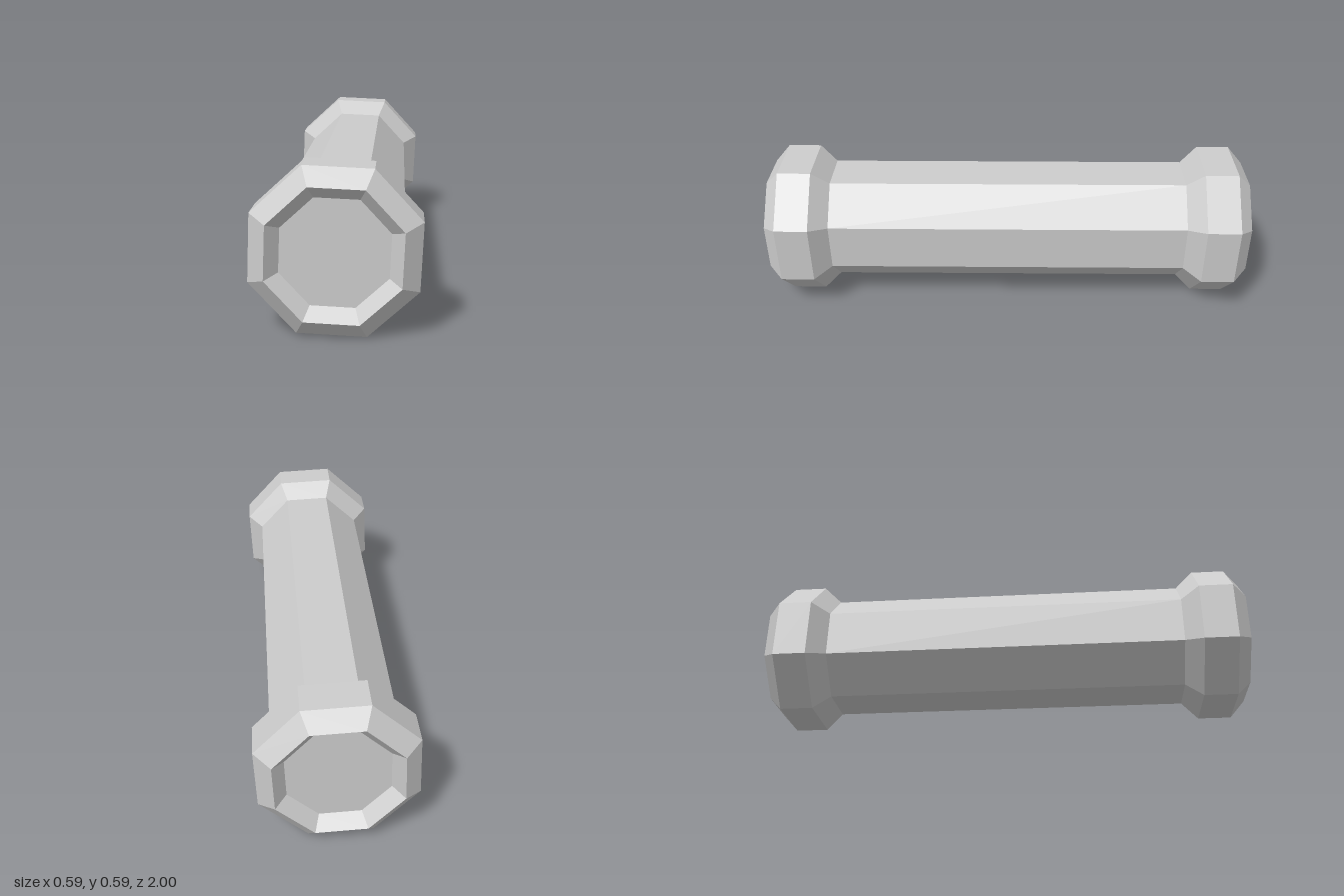
import * as THREE from 'three';

const SIDES = 8;
const TWIST = THREE.MathUtils.degToRad(20.06); // slight roll of the octagon
const CENTRE_Y = 0.298;

const material = new THREE.MeshStandardMaterial({ color: 0xcccccc, flatShading: true });

// Octagonal solid of revolution along z; profile points are [radius, z], z rising on the outside.
function octagonalLathe(name, profile) {
  const points = profile.map(([r, z]) => new THREE.Vector2(r, z));
  const geometry = new THREE.LatheGeometry(points, SIDES, TWIST);
  geometry.rotateX(Math.PI / 2);
  const mesh = new THREE.Mesh(geometry, material);
  mesh.name = name;
  mesh.position.y = CENTRE_Y;
  return mesh;
}

export function createModel() {
  const group = new THREE.Group();
  group.name = 'octagonalBar';

  // Long shaft between the two end caps
  group.add(octagonalLathe('shaft', [[0.249, -0.738], [0.249, 0.738]]));

  // Bevelled end cap with a shallow tapered recess in its face
  const cap = [
    [0.249, 0.738],
    [0.315, 0.807],
    [0.315, 0.943],
    [0.249, 1],
    [0.202, 0.95],
    [0, 0.95],
  ];
  group.add(octagonalLathe('frontCap', cap));

  // Mirrored profile, reversed so the faces still point outward
  group.add(octagonalLathe('backCap', cap.map(([r, z]) => [r, -z]).reverse()));

  return group;
}
